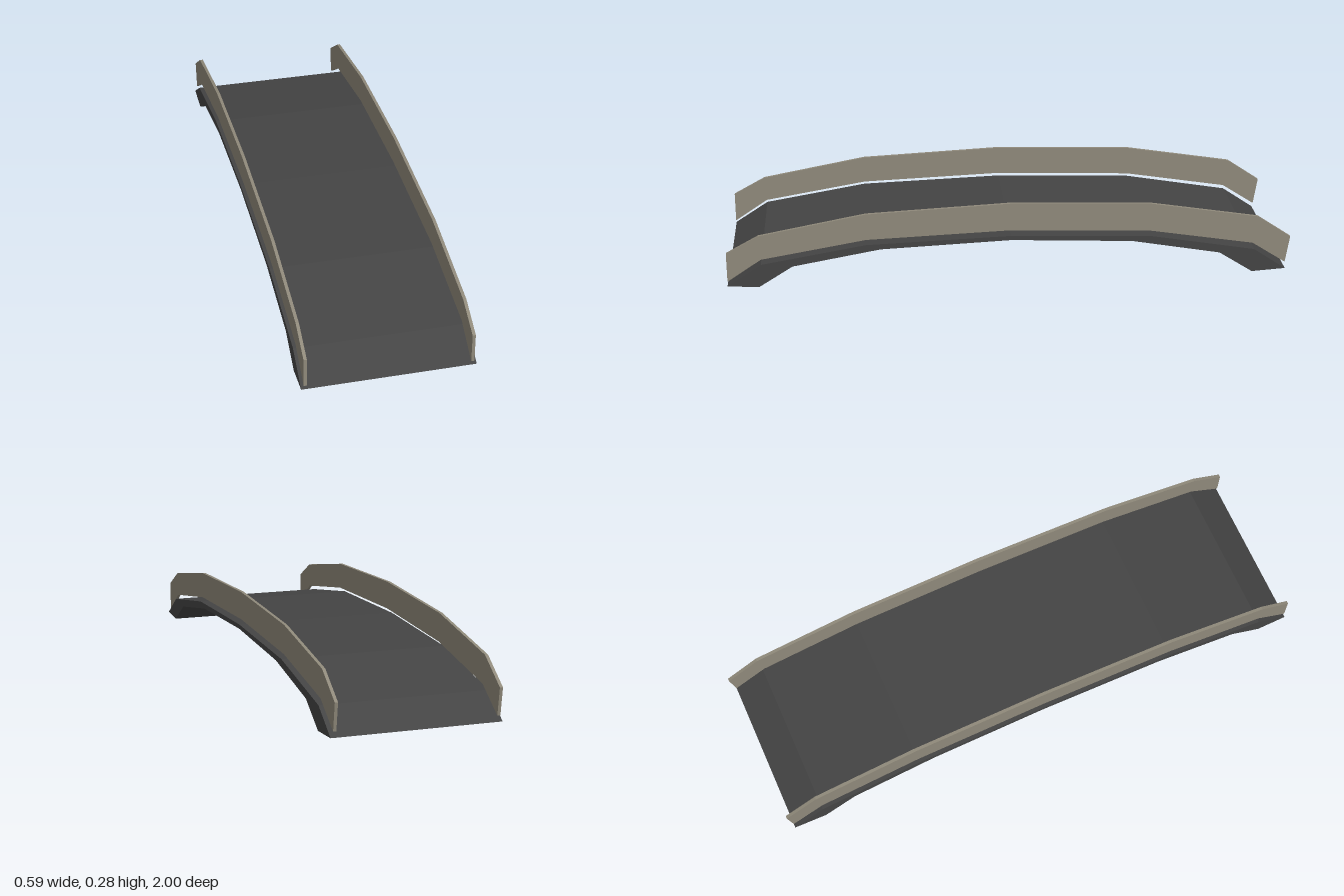
import * as THREE from 'three';

// Extrude a side profile of [z, y] points across x, centred on x
function crossSlab(name, profile, width, x, material) {
  const shape = new THREE.Shape(profile.map(([z, y]) => new THREE.Vector2(z, y)));
  const geometry = new THREE.ExtrudeGeometry(shape, { depth: width, bevelEnabled: false });
  geometry.translate(0, 0, -width / 2).rotateY(-Math.PI / 2);
  const mesh = new THREE.Mesh(geometry, material);
  mesh.name = name;
  mesh.position.x = x;
  return mesh;
}

export function createModel() {
  const group = new THREE.Group();
  group.name = 'archedBridge';
  const deckMaterial = new THREE.MeshStandardMaterial({ color: 0x444444, flatShading: true });
  const railMaterial = new THREE.MeshStandardMaterial({ color: 0x8f897a, flatShading: true });

  // Arched deck, thicker at the two feet
  const deckTop = [[1, 0.007], [0.88, 0.085], [0.51, 0.148], [0, 0.166], [-0.49, 0.15], [-0.87, 0.086], [-0.985, 0.008]];
  const deckUnder = [[-0.865, 0], [-0.745, 0.077], [-0.43, 0.132], [0, 0.15], [0.46, 0.13], [0.77, 0.075], [0.89, 0]];
  group.add(crossSlab('deck', [...deckTop, ...deckUnder], 0.594, 0, deckMaterial));

  // Side rails floating just above the deck
  const railTop = [[1, 0.127], [0.885, 0.19], [0.51, 0.26], [0, 0.285], [-0.495, 0.269], [-0.88, 0.208], [-1, 0.127]];
  const railUnder = [[-0.985, 0.029], [-0.865, 0.107], [-0.49, 0.167], [0, 0.184], [0.51, 0.164], [0.88, 0.101], [1, 0.021]];
  for (const [name, side] of [['leftRail', 1], ['rightRail', -1]]) {
    group.add(crossSlab(name, [...railTop, ...railUnder], 0.011, side * 0.283, railMaterial));
  }
  return group;
}
